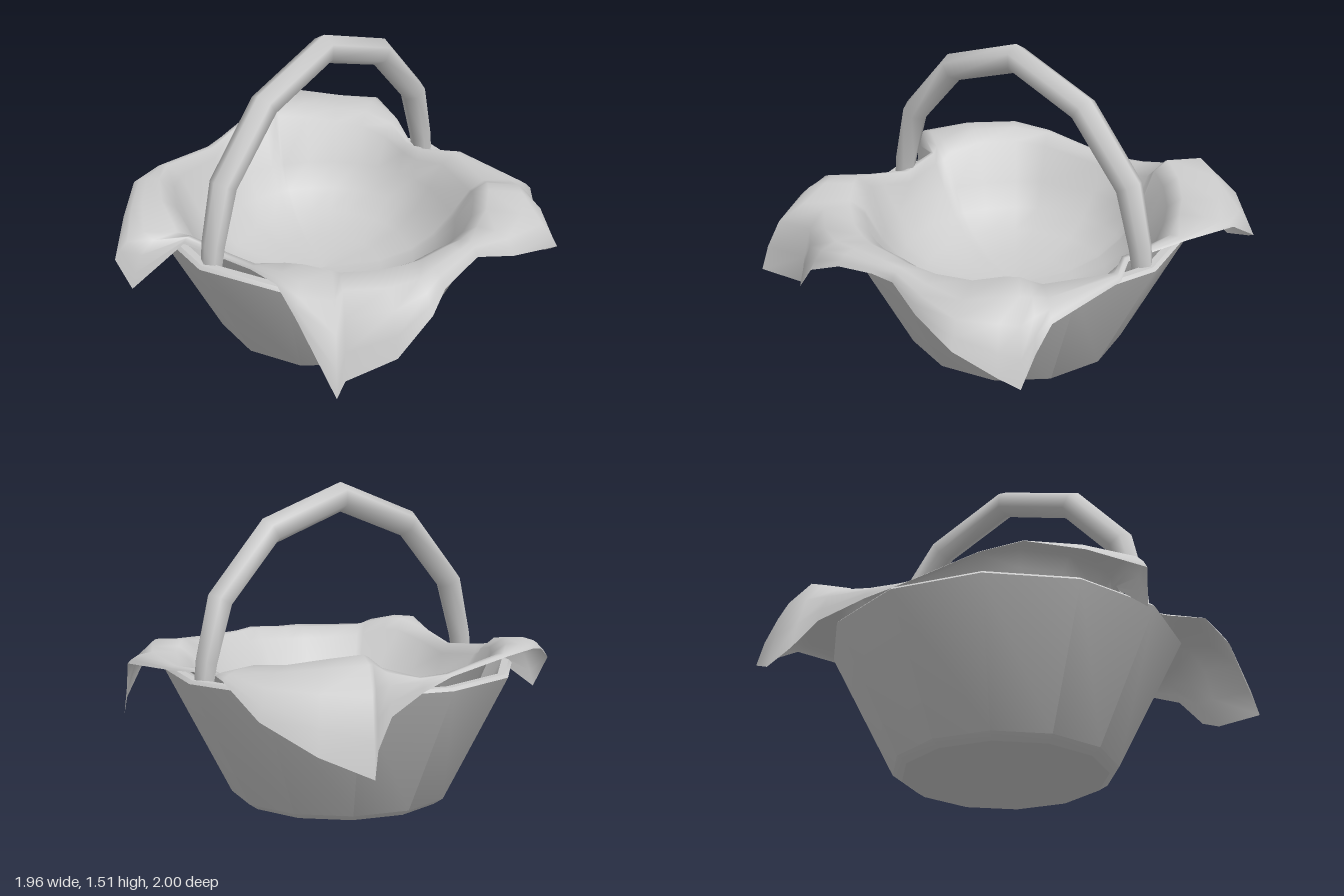
import * as THREE from 'three';
import { toCreasedNormals } from 'three/addons/utils/BufferGeometryUtils.js';

const CX = 0.04; // the basket sits slightly off centre under the cloth
const material = (side = THREE.FrontSide) => new THREE.MeshStandardMaterial({ color: 0xcccccc, side });

// Skin a list of closed rings (arrays of Vector3 of equal length) with smooth normals.
function loft(rings) {
  const n = rings[0].length, pos = [], index = [];
  rings.flat().forEach(p => pos.push(p.x, p.y, p.z));
  for (let i = 0; i < rings.length - 1; i++) {
    for (let j = 0; j < n; j++) {
      const a = i * n + j, b = i * n + (j + 1) % n;
      index.push(a, b, a + n, b, b + n, a + n);
    }
  }
  const geo = new THREE.BufferGeometry();
  geo.setAttribute('position', new THREE.Float32BufferAttribute(pos, 3));
  geo.setIndex(index);
  geo.computeVertexNormals();
  return geo;
}

// Twelve-sided hollow body with a bevelled foot and a thin rim.
function makeBasket() {
  const profile = [[0, 0], [0.48, 0], [0.525, 0.03], [0.835, 0.63], [0.82, 0.645], [0.785, 0.645],
    [0.77, 0.62], [0.47, 0.05], [0, 0.05]].map(p => new THREE.Vector2(...p));
  const geo = toCreasedNormals(new THREE.LatheGeometry(profile, 12), 0.55);
  const mesh = new THREE.Mesh(geo, material());
  mesh.name = 'basketBody';
  mesh.position.x = CX;
  return mesh;
}

// Faceted hoop: mitred six-sided rings along a mirrored path, thinner at the feet.
function makeHandle() {
  const half = [[0.76, 0.62, 0.05], [0.745, 0.72, 0.055], [0.67, 0.995, 0.064], [0.4, 1.293, 0.066]];
  const path = [...half.map(([x, y, r]) => [-x, y, r]), [0, 1.435, 0.066], ...half.slice().reverse()];
  const at = i => new THREE.Vector2(path[i][0], path[i][1]);
  const last = path.length - 1;
  const rings = path.map(([x, y, r], i) => {
    const a = Math.max(i, 1), b = Math.min(i, last - 1);
    const before = at(a).sub(at(a - 1)).normalize();
    const after = at(b + 1).sub(at(b)).normalize();
    const t = before.add(after).normalize();
    const miter = r / t.dot(after);
    return Array.from({ length: 6 }, (_, j) => {
      const angle = j * Math.PI / 3, c = Math.cos(angle) * miter;
      return new THREE.Vector3(x - t.y * c, y + t.x * c, Math.sin(angle) * r);
    });
  });
  const mesh = new THREE.Mesh(loft(rings), material());
  mesh.name = 'handle';
  mesh.position.x = CX;
  return mesh;
}

// Cloth lining: hem -> overhang -> crest on the rim -> shallow rounded hollow.
function makeCloth() {
  // hem x, hem z, hem height, crest height, going round from the left side
  const hem = [
    [0.76, 0.05, 0.66, 0.67], [0.85, 0.22, 0.66, 0.68], [0.83, 0.66, 0.63, 0.69],
    [0.80, 0.73, 0.50, 0.71], [0.78, 0.80, 0.35, 0.73], [0.72, 0.88, 0.42, 0.73],
    [0.57, 1.00, 0.545, 0.70], [0.30, 0.94, 0.59, 0.70], [0.10, 0.88, 0.65, 0.71],
    [0.00, 0.91, 0.67, 0.72], [-0.20, 0.925, 0.64, 0.71], [-0.34, 0.97, 0.59, 0.71],
    [-0.50, 0.91, 0.42, 0.71], [-0.67, 0.76, 0.32, 0.72], [-0.84, 0.86, 0.37, 0.73],
    [-0.83, 0.62, 0.66, 0.76], [-0.79, 0.47, 0.75, 0.76], [-0.72, 0.25, 0.70, 0.71],
    [-0.69, 0.05, 0.66, 0.67], [-0.72, -0.18, 0.66, 0.69],
    [-0.94, -0.30, 0.47, 0.70], [-0.98, -0.36, 0.62, 0.73], [-0.78, -0.52, 0.70, 0.76],
    [-0.57, -0.68, 0.74, 0.76], [-0.37, -0.73, 0.73, 0.74], [0.00, -0.77, 0.68, 0.69],
    [0.20, -0.82, 0.64, 0.70], [0.42, -0.88, 0.57, 0.75], [0.53, -0.93, 0.45, 0.80],
    [0.60, -1.00, 0.35, 0.81], [0.80, -0.88, 0.45, 0.79], [0.95, -0.68, 0.58, 0.76],
    [0.98, -0.45, 0.72, 0.75], [0.88, -0.23, 0.70, 0.71], [0.78, -0.06, 0.66, 0.67],
  ];
  const polar = (x, z, r, y) => {
    const a = Math.atan2(z, x - CX);
    return new THREE.Vector3(CX + Math.cos(a) * r, y, Math.sin(a) * r);
  };
  const crestRadius = (x, z) => Math.min(0.79, Math.hypot(x - CX, z) - 0.04);
  // overhang: t = 1 at the hem, 0 on the crest
  const outer = [1, 0.92, 0.78, 0.5, 0].map(t => hem.map(([x, z, y, top]) => {
    const reach = Math.hypot(x - CX, z), crest = crestRadius(x, z);
    return polar(x, z, crest + (reach - crest) * t, top + (y - top) * t ** 5);
  }));
  // fold lying over the inner edge of the rim
  const fold = hem.map(([x, z, , top]) => polar(x, z, Math.min(0.72, crestRadius(x, z) - 0.02), top - 0.05));
  const bowl = [[0.64, 0.52], [0.55, 0.41], [0.44, 0.33], [0.28, 0.275], [0, 0.26]]
    .map(([r, h]) => hem.map(([x, z]) => polar(x, z, r, h)));
  const mesh = new THREE.Mesh(loft([...outer, fold, ...bowl]), material(THREE.DoubleSide));
  mesh.name = 'clothLining';
  return mesh;
}

export function createModel() {
  const model = new THREE.Group();
  model.name = 'basketWithCloth';
  model.add(makeBasket(), makeHandle(), makeCloth());
  return model;
}
